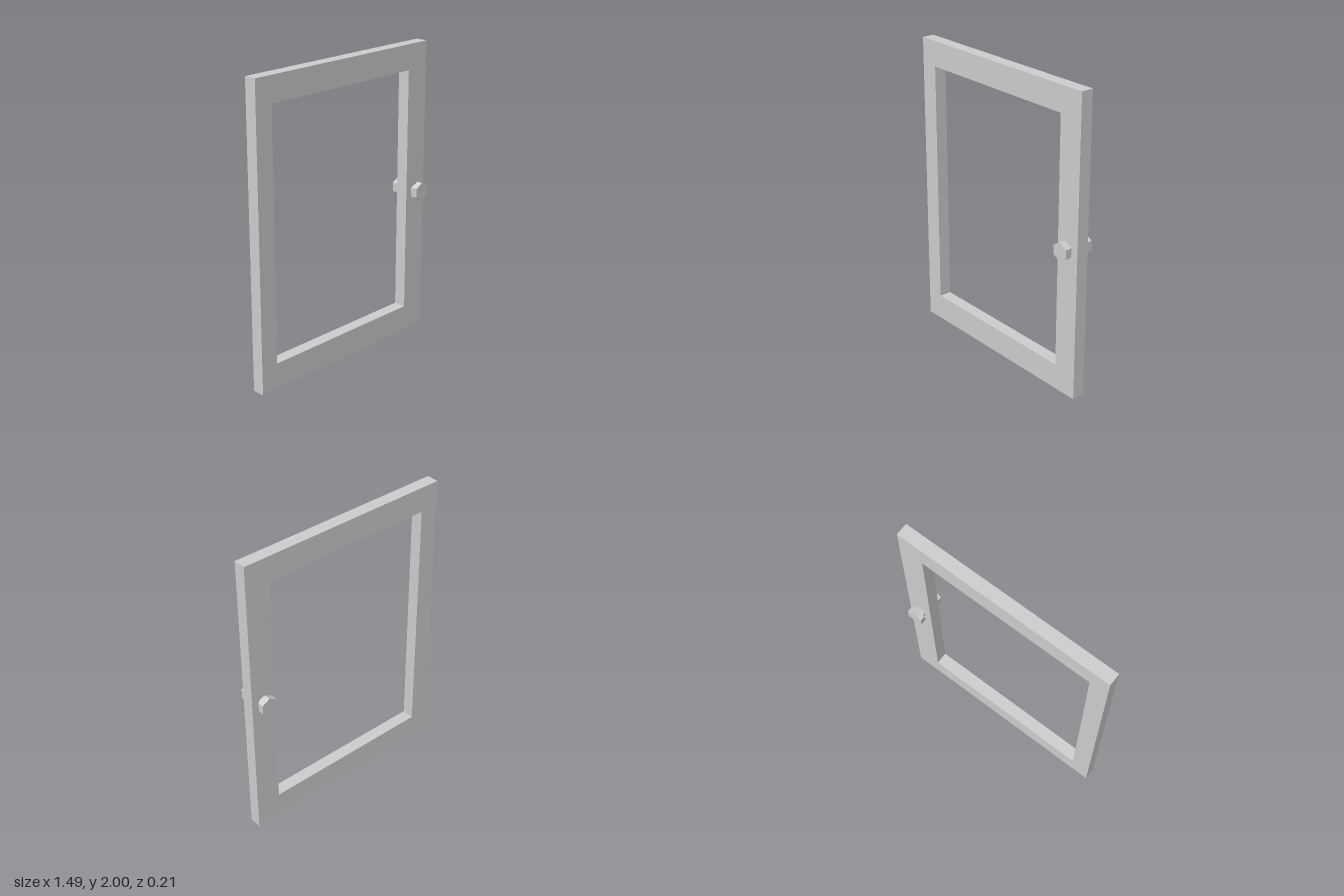
import * as THREE from 'three';

const material = new THREE.MeshStandardMaterial({ color: 0xcccccc, flatShading: true });

function rectangle(path, x0, y0, x1, y1) {
  path.moveTo(x0, y0);
  path.lineTo(x1, y0);
  path.lineTo(x1, y1);
  path.lineTo(x0, y1);
  path.closePath();
  return path;
}

// Six-sided prism along z, with a corner pointing up
function hexPrism(name, radius, z0, z1) {
  const geometry = new THREE.CylinderGeometry(radius, radius, z1 - z0, 6);
  geometry.rotateX(Math.PI / 2);
  geometry.translate(0, 0, (z0 + z1) / 2);
  const mesh = new THREE.Mesh(geometry, material);
  mesh.name = name;
  return mesh;
}

export function createModel() {
  const model = new THREE.Group();
  model.name = 'door';

  // Flat frame with an open panel
  const thickness = 0.083;
  const outline = rectangle(new THREE.Shape(), -0.743, 0, 0.743, 2);
  outline.holes.push(rectangle(new THREE.Path(), -0.619, 0.174, 0.573, 1.831));
  const frameGeometry = new THREE.ExtrudeGeometry(outline, { depth: thickness, bevelEnabled: false });
  frameGeometry.translate(0, 0, -thickness / 2);
  const frame = new THREE.Mesh(frameGeometry, material);
  frame.name = 'frame';
  model.add(frame);

  // Matching knobs on the front and back of the wide stile
  for (const [name, turn] of [['frontKnob', 0], ['backKnob', Math.PI]]) {
    const knob = new THREE.Group();
    knob.name = name;
    knob.add(hexPrism('knobNeck', 0.042, thickness / 2, 0.063));
    knob.add(hexPrism('knobHead', 0.062, 0.063, 0.104));
    knob.position.set(0.657, 1.002, 0);
    knob.rotation.y = turn;
    model.add(knob);
  }

  return model;
}
